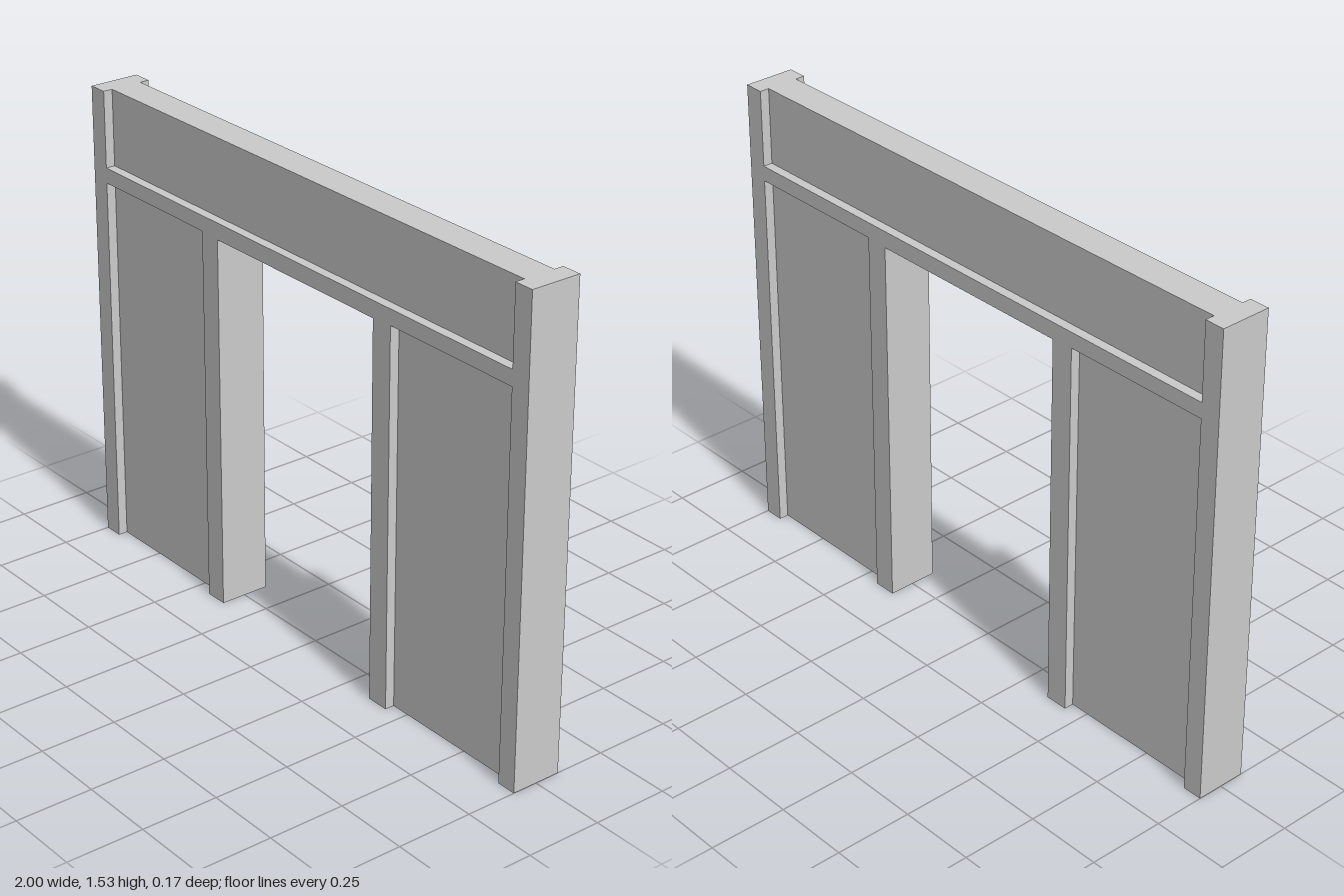
import * as THREE from 'three';

const HEIGHT = 1.535, FRAME_DEPTH = 0.167, PANEL_DEPTH = 0.105;
const POST_IN = 0.935;                      // inner edge of the outer posts
const JAMB_OUT = 0.437, JAMB_IN = 0.361;    // door jambs
const PANEL_TOP = 1.236, DOOR_TOP = 1.232, RAIL_TOP = 1.286;

export function createModel() {
  const group = new THREE.Group();
  const material = new THREE.MeshStandardMaterial({ color: 0xcccccc, flatShading: true });

  const add = (name, geometry, x = 0, y = 0, z = 0) => {
    const mesh = new THREE.Mesh(geometry, material);
    mesh.name = name;
    mesh.position.set(x, y, z);
    group.add(mesh);
  };

  // Raised frame: posts, cross rail and door jambs in one outline, mirrored in x
  const half = [
    [JAMB_IN, DOOR_TOP], [JAMB_IN, 0], [JAMB_OUT, 0], [JAMB_OUT, PANEL_TOP],
    [POST_IN, PANEL_TOP], [POST_IN, 0], [1, 0], [1, HEIGHT],
    [POST_IN, HEIGHT], [POST_IN, RAIL_TOP],
  ];
  const mirrored = half.map(([x, y]) => [-x, y]).reverse();
  const outline = new THREE.Shape([...half, ...mirrored].map(([x, y]) => new THREE.Vector2(x, y)));
  const frame = new THREE.ExtrudeGeometry(outline, { depth: FRAME_DEPTH, bevelEnabled: false });
  add('frame', frame, 0, 0, -FRAME_DEPTH / 2);

  // Recessed wall panels beside the doorway
  const width = POST_IN - JAMB_OUT;
  for (const [name, side] of [['leftPanel', 1], ['rightPanel', -1]]) {
    add(name, new THREE.BoxGeometry(width, PANEL_TOP, PANEL_DEPTH),
      side * (POST_IN + JAMB_OUT) / 2, PANEL_TOP / 2);
  }

  // Recessed panel above the cross rail
  const upper = HEIGHT - RAIL_TOP;
  add('upperPanel', new THREE.BoxGeometry(POST_IN * 2, upper, PANEL_DEPTH), 0, RAIL_TOP + upper / 2);

  return group;
}
